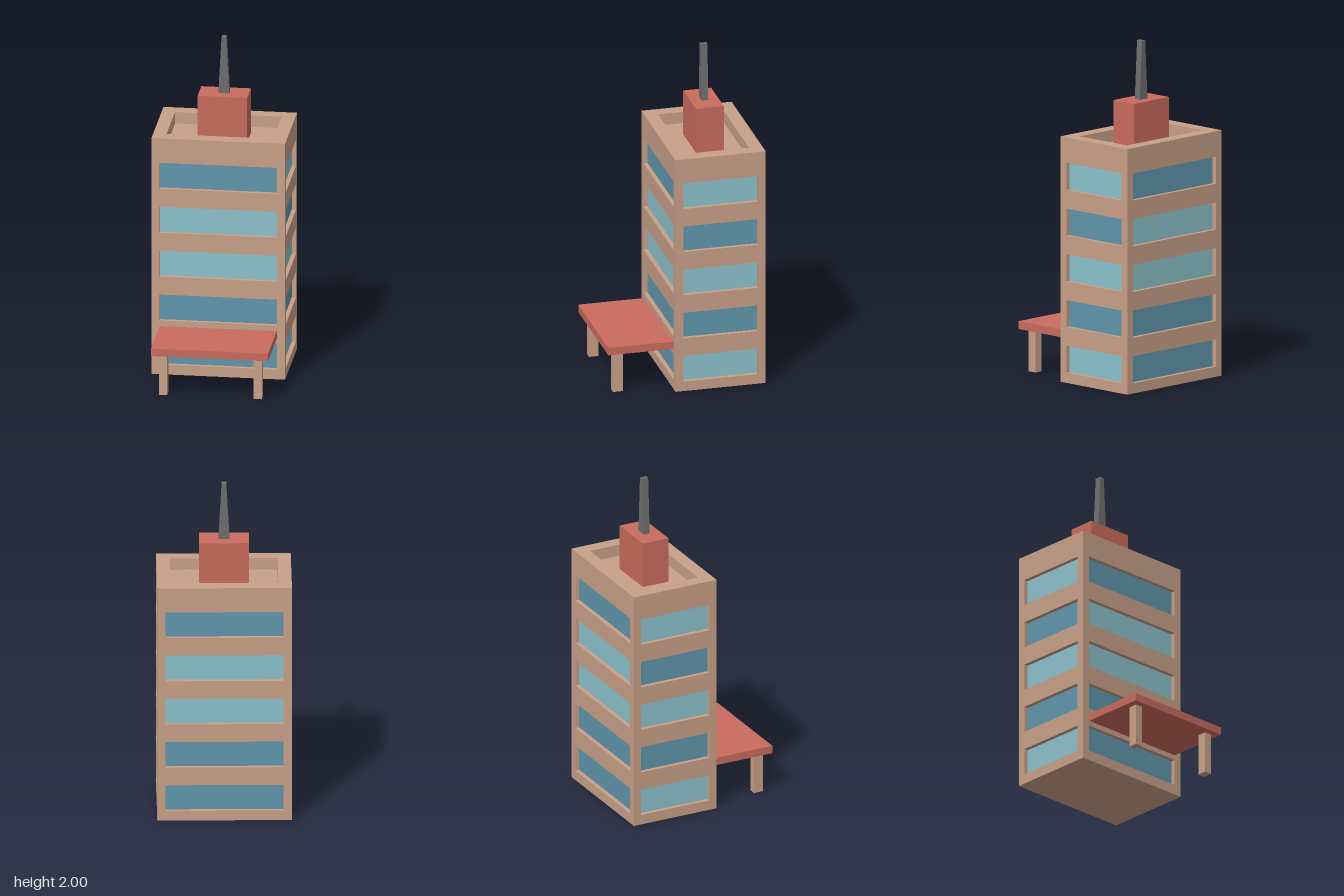
import * as THREE from 'three';

const mat = (name, color) => {
  const m = new THREE.MeshStandardMaterial({ color });
  m.name = name;
  return m;
};

const rectPoints = (x0, y0, x1, y1) => [
  new THREE.Vector2(x0, y0), new THREE.Vector2(x1, y0),
  new THREE.Vector2(x1, y1), new THREE.Vector2(x0, y1),
];

export function createModel() {
  const wall = mat('tan wall', 0xc8a088);
  const red = mat('brick red', 0xc96b5d);
  const lightGlass = mat('light glass', 0x8cc2cc);
  const darkGlass = mat('dark glass', 0x6096ac);
  const metal = mat('grey metal', 0x6e6e6e);

  const model = new THREE.Group();
  model.name = 'officeTower';

  const add = (parent, name, geometry, material, x = 0, y = 0, z = 0) => {
    const mesh = new THREE.Mesh(geometry, material);
    mesh.name = name;
    mesh.position.set(x, y, z);
    parent.add(mesh);
    return mesh;
  };
  const box = (parent, name, material, w, h, d, x, y, z) =>
    add(parent, name, new THREE.BoxGeometry(w, h, d), material, x, y, z);
  const extrude = (shape, depth) =>
    new THREE.ExtrudeGeometry(shape, { depth, bevelEnabled: false });

  // Tower dimensions
  const W = 0.78, D = 0.54, H = 1.45, ROOF = 1.38, T = 0.03;
  const tower = new THREE.Group();
  tower.name = 'tower';
  tower.position.z = -0.195;
  model.add(tower);

  // Solid core, whose top is the sunken roof deck
  box(tower, 'core', wall, W - 2 * T, ROOF, D - 2 * T, 0, ROOF / 2, 0);

  // One facade: a wall panel with five openings and recessed panes
  const facade = (name, panelWidth, windowWidth, distance, angle, panes) => {
    const side = new THREE.Group();
    side.name = name;
    side.rotation.y = angle;
    tower.add(side);
    const shape = new THREE.Shape(rectPoints(-panelWidth / 2, 0, panelWidth / 2, ROOF));
    panes.forEach((glass, i) => {
      const y = 0.06 + i * 0.27;
      shape.holes.push(new THREE.Path(
        rectPoints(-windowWidth / 2, y, windowWidth / 2, y + 0.16).reverse()));
      box(side, 'window', glass, windowWidth, 0.16, 0.005, 0, y + 0.08, distance - T + 0.0025);
    });
    add(side, 'wallPanel', extrude(shape, T), wall, 0, 0, distance - T);
  };
  const L = lightGlass, K = darkGlass;
  const wide = [K, K, L, L, K], narrow = [L, K, L, K, L];
  facade('frontFacade', W, 0.684, D / 2, 0, wide);
  facade('backFacade', W, 0.684, D / 2, Math.PI, wide);
  facade('leftFacade', D - 2 * T, 0.446, W / 2, Math.PI / 2, narrow);
  facade('rightFacade', D - 2 * T, 0.446, W / 2, -Math.PI / 2, narrow);

  // Parapet ring around the roof deck
  const ring = new THREE.Shape(rectPoints(-W / 2, -D / 2, W / 2, D / 2));
  ring.holes.push(new THREE.Path(rectPoints(-0.312, -0.19, 0.312, 0.19).reverse()));
  const parapet = add(tower, 'parapet', extrude(ring, H - ROOF), wall, 0, ROOF, 0);
  parapet.rotation.x = -Math.PI / 2;

  // Rooftop block and tapered mast
  box(tower, 'roofBlock', red, 0.29, 1.655 - ROOF, 0.167, 0, (1.655 + ROOF) / 2, 0);
  const mast = new THREE.Shape([
    new THREE.Vector2(-0.032, 0), new THREE.Vector2(0.032, 0),
    new THREE.Vector2(0.0135, 0.345), new THREE.Vector2(-0.0135, 0.345),
  ]);
  add(tower, 'mast', extrude(mast, 0.04), metal, 0, 1.655, -0.02);

  // Entrance canopy on two posts
  box(model, 'canopy', red, 0.684, 0.046, 0.39, 0, 0.273, 0.27);
  for (const s of [-1, 1]) {
    box(model, s > 0 ? 'leftPost' : 'rightPost', wall, 0.048, 0.25, 0.058, s * 0.276, 0.125, 0.396);
  }

  return model;
}
